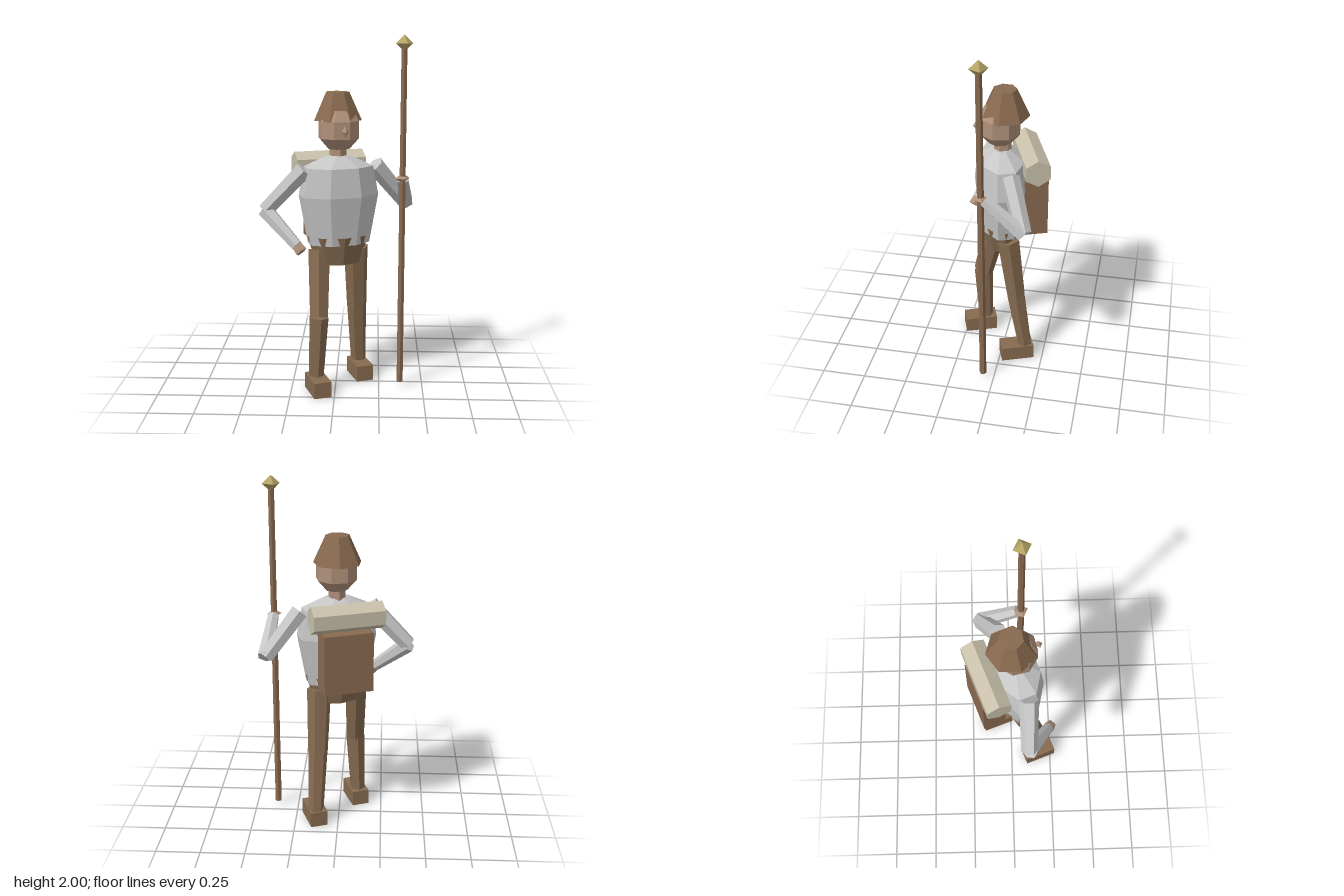
import * as THREE from 'three';

const YAW = 0.35; // the whole figure is turned a little to its left

function material(name, color) {
  const m = new THREE.MeshStandardMaterial({ color, flatShading: true });
  m.name = name;
  return m;
}

export function createModel() {
  const model = new THREE.Group();
  model.name = 'spearCarrier';
  const body = new THREE.Group();
  body.name = 'body';
  body.position.set(0.015, 0, 0.02);
  body.rotation.y = YAW;
  model.add(body);

  const shirt = material('shirtGrey', 0xc6c6c6);
  const brown = material('trouserBrown', 0x866b50);
  const leather = material('leatherBrown', 0x896a50);
  const skin = material('skin', 0xb0917a);
  const cloth = material('bedrollBeige', 0xc8c0aa);
  const brass = material('brass', 0xb5a465);

  function add(parent, name, geometry, mat, x = 0, y = 0, z = 0, yaw = 0) {
    const mesh = new THREE.Mesh(geometry, mat);
    mesh.name = name;
    mesh.position.set(x, y, z);
    mesh.rotation.y = yaw;
    parent.add(mesh);
    return mesh;
  }

  // Faceted solid of revolution from [radius, y] pairs, bottom to top
  const turned = (profile, sides, start = 0) => new THREE.LatheGeometry(
    profile.map(([r, y]) => new THREE.Vector2(r, y)), sides, start);

  // Tapered faceted limb between two points
  function limb(name, a, b, ra, rb, mat, sides = 6) {
    const p = new THREE.Vector3(...a), q = new THREE.Vector3(...b);
    const dir = q.clone().sub(p);
    const mesh = add(model, name, new THREE.CylinderGeometry(rb, ra, dir.length(), sides), mat);
    mesh.position.copy(p).add(q).multiplyScalar(0.5);
    mesh.quaternion.setFromUnitVectors(new THREE.Vector3(0, 1, 0), dir.normalize());
    return mesh;
  }

  // Small diamond shape used for the nose, hands and spear tip
  function diamond(name, mat, [x, y, z], sx, sy, sz) {
    add(model, name, new THREE.OctahedronGeometry(1), mat, x, y, z, YAW).scale.set(sx, sy, sz);
  }

  // Torso, with the trouser waist cutting through the shirt hem
  const torso = turned([[0, 0.845], [0.78, 0.845], [1, 1.12], [0.87, 1.28], [0.3, 1.34], [0, 1.34]], 8, Math.PI / 8);
  add(body, 'shirt', torso.scale(0.234, 1, 0.148), shirt);
  const hips = turned([[0, 0.73], [0.72, 0.73], [1, 0.89], [0, 0.89]], 8);
  add(body, 'hips', hips.scale(0.183, 1, 0.123), brown);

  // Head, nose and hat
  add(model, 'neck', new THREE.CylinderGeometry(0.048, 0.048, 0.1, 6), skin, 0.012, 1.365, 0.012, YAW);
  const head = turned([[0, 1.38], [0.062, 1.38], [0.115, 1.44], [0.115, 1.535], [0.08, 1.595], [0, 1.6]], 8, Math.PI / 8);
  add(model, 'head', head, skin, 0.016, 0, 0.025, 0.22);
  diamond('nose', skin, [0.056, 1.486, 0.144], 0.021, 0.033, 0.021);
  add(model, 'hat', new THREE.CylinderGeometry(0.066, 0.136, 0.155, 7), leather, 0.008, 1.613, 0, 0.6);

  // Legs and boots: the right one strides forward
  const legs = [
    ['right', [-0.093, 0.81, 0.058], [-0.09, 0.44, 0.147], [-0.108, 0.07, 0.14], [-0.095, 0.045, 0.172]],
    ['left', [0.112, 0.81, -0.037], [0.118, 0.44, -0.085], [0.128, 0.07, -0.145], [0.138, 0.045, -0.095]],
  ];
  for (const [side, hip, knee, ankle, foot] of legs) {
    limb(side + 'Thigh', hip, knee, 0.07, 0.058, brown);
    limb(side + 'Shin', knee, ankle, 0.056, 0.043, brown);
    add(model, side + 'Boot', new THREE.BoxGeometry(0.1, 0.09, 0.19), brown, ...foot, YAW);
  }

  // Arms: right hand towards the hip, left hand around the spear
  const arms = [
    ['right', [-0.17, 1.27, 0.09], [-0.39, 1.04, 0.09], [-0.205, 0.865, 0.205]],
    ['left', [0.215, 1.275, -0.065], [0.395, 1.045, -0.17], [0.372, 1.215, 0.045]],
  ];
  for (const [side, shoulder, elbow, wrist] of arms) {
    limb(side + 'UpperArm', shoulder, elbow, 0.054, 0.046, shirt);
    limb(side + 'Forearm', elbow, wrist, 0.047, 0.033, shirt);
  }
  limb('rightHand', [-0.215, 0.875, 0.2], [-0.18, 0.835, 0.22], 0.028, 0.034, skin, 5);
  diamond('leftHand', skin, [0.37, 1.22, 0.062], 0.043, 0.027, 0.043);

  // Spear
  limb('spearShaft', [0.371, 0.03, 0.063], [0.371, 1.94, 0.063], 0.02, 0.018, leather);
  diamond('spearTip', brass, [0.371, 1.955, 0.063], 0.05, 0.045, 0.05);

  // Backpack with a bedroll on top
  add(body, 'backpack', new THREE.BoxGeometry(0.28, 0.34, 0.13), leather, 0.002, 1.02, -0.175);
  const roll = new THREE.CylinderGeometry(0.078, 0.078, 0.405, 6, 1, false, Math.PI / 6);
  add(body, 'bedroll', roll.rotateZ(Math.PI / 2), cloth, -0.005, 1.268, -0.17);

  return model;
}
